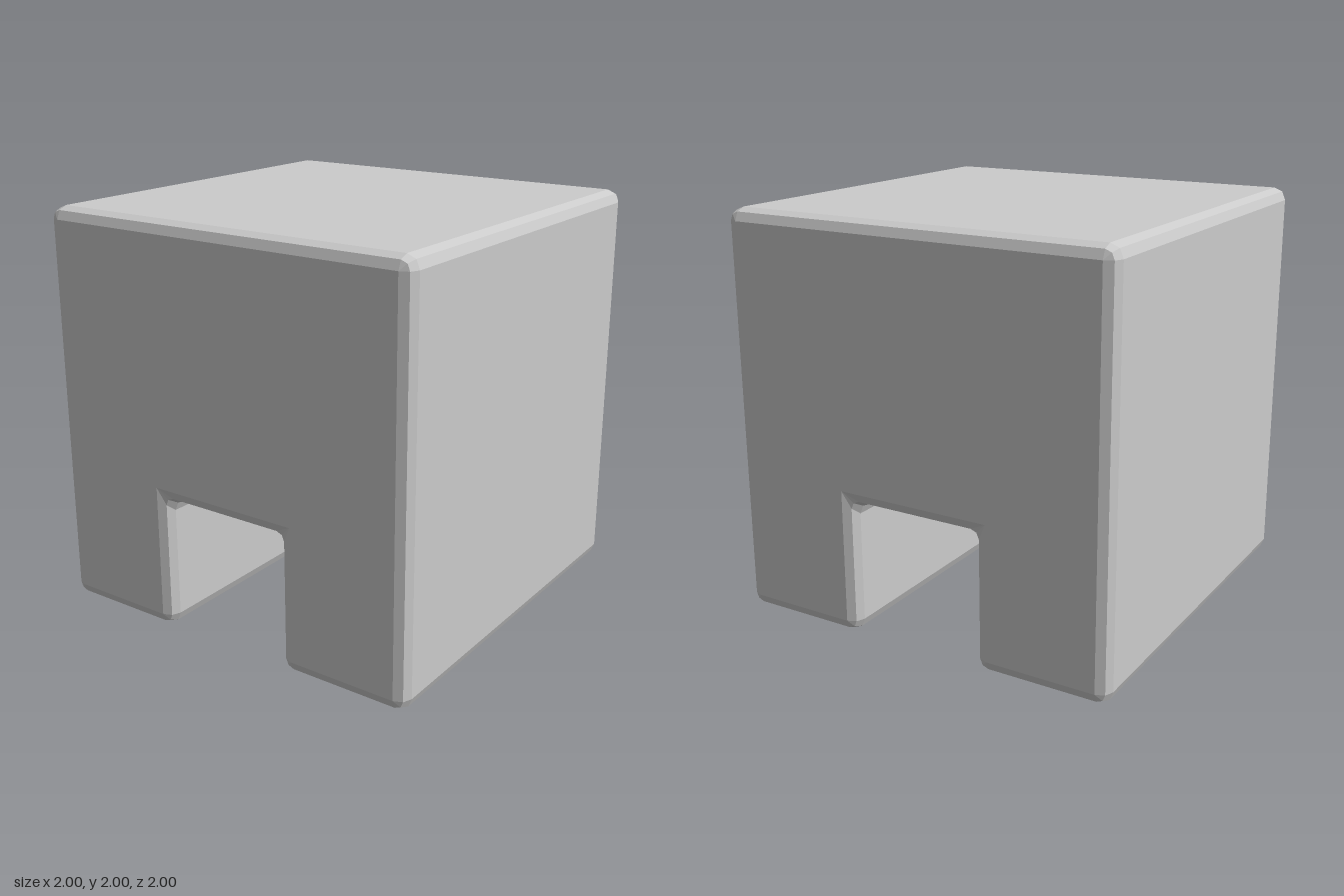
import * as THREE from 'three';

const R = 0.06; // bevel radius
const T = 1 / 3; // half width of the tunnel

// Outline in (z, y), counter-clockwise: a square with a notch in its base
const OUTLINE = [[-1, 0], [-T, 0], [-T, 2 * T], [T, 2 * T], [T, 0], [1, 0], [1, 2], [-1, 2]]
  .map(([z, y]) => new THREE.Vector2(z, y));

// For each corner: the inset point on the side face and a two-segment rounded arc
function corners() {
  const n = OUTLINE.length;
  return OUTLINE.map((p, i) => {
    const d0 = p.clone().sub(OUTLINE[(i + n - 1) % n]).normalize();
    const d1 = OUTLINE[(i + 1) % n].clone().sub(p).normalize();
    const centre = p.clone().addScaledVector(d0, -R).addScaledVector(d1, R);
    const arc = [0, 0.25, 0.5].map((t) => centre.clone()
      .addScaledVector(d0, R * Math.sin(t * Math.PI))
      .addScaledVector(d1, -R * Math.cos(t * Math.PI)));
    // arc runs from the incoming edge to the outgoing edge
    const inset = p.clone()
      .add(new THREE.Vector2(-d0.y - d1.y, d0.x + d1.x).multiplyScalar(R));
    return { inset, arc };
  });
}

function blockGeometry() {
  const pos = [];
  const tri = (a, b, c) => {
    const area = b.clone().sub(a).cross(c.clone().sub(a)).length();
    if (area > 1e-8) pos.push(...a.toArray(), ...b.toArray(), ...c.toArray());
  };
  const cs = corners();

  // Cross-sections along x; the arcs shrink to the inset corners at both ends
  const ring = (side, angle) => {
    const x = side * (1 - R + R * Math.sin(angle));
    const w = 1 - Math.cos(angle);
    return cs.flatMap(({ inset, arc }) => arc.map((p) => {
      const q = p.clone().lerp(inset, w);
      return new THREE.Vector3(x, q.y, q.x);
    }));
  };
  const steps = [Math.PI / 2, Math.PI / 4, 0];
  const rings = [
    ...steps.map((a) => ring(-1, a)),
    ...steps.slice().reverse().map((a) => ring(1, a)),
  ];
  for (let i = 0; i < rings.length - 1; i++) {
    const a = rings[i], b = rings[i + 1];
    for (let j = 0; j < a.length; j++) {
      const k = (j + 1) % a.length;
      tri(a[j], b[j], b[k]);
      tri(a[j], b[k], a[k]);
    }
  }

  // Flat side faces
  const face = cs.map((c) => c.inset);
  for (const [i, j, k] of THREE.ShapeUtils.triangulateShape(face, [])) {
    const at = (x, m) => new THREE.Vector3(x, face[m].y, face[m].x);
    tri(at(-1, i), at(-1, j), at(-1, k));
    tri(at(1, i), at(1, k), at(1, j));
  }

  const geo = new THREE.BufferGeometry();
  geo.setAttribute('position', new THREE.Float32BufferAttribute(pos, 3));
  geo.computeVertexNormals();
  return geo;
}

export function createModel() {
  const group = new THREE.Group();
  group.name = 'tunnelBlock';
  const material = new THREE.MeshStandardMaterial({ color: 0xcccccc, flatShading: true });
  const block = new THREE.Mesh(blockGeometry(), material);
  block.name = 'block';
  group.add(block);
  return group;
}
